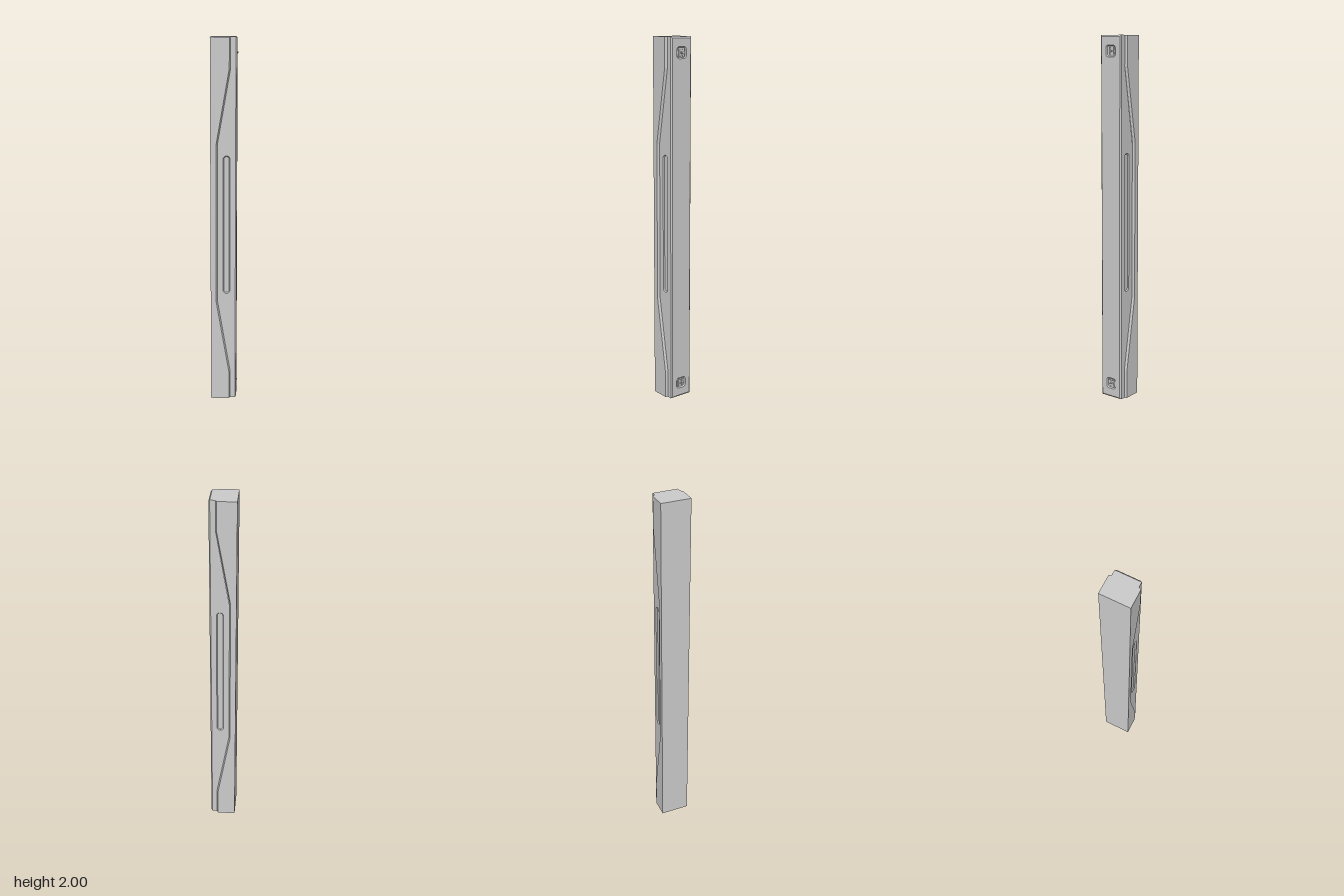
import * as THREE from 'three';

const material = new THREE.MeshStandardMaterial({ color: 0xcccccc, flatShading: true, side: THREE.DoubleSide });

function add(parent, name, geometry) {
  const mesh = new THREE.Mesh(geometry, material);
  mesh.name = name;
  parent.add(mesh);
  return mesh;
}

// Quad strips between successive rings of [x, y, z] points
function loft(rings, skip = []) {
  const pos = [];
  for (let r = 0; r < rings.length - 1; r++) {
    const a = rings[r], b = rings[r + 1], n = a.length;
    for (let i = 0; i < n; i++) {
      if (skip.includes(i)) continue;
      const j = (i + 1) % n;
      pos.push(...a[i], ...a[j], ...b[j], ...a[i], ...b[j], ...b[i]);
    }
  }
  const geo = new THREE.BufferGeometry();
  geo.setAttribute('position', new THREE.Float32BufferAttribute(pos, 3));
  geo.computeVertexNormals();
  return geo;
}

// Counter-clockwise rounded rectangle
function roundRect(cx, cy, w, h, r, steps = 8) {
  const pts = [];
  [[1, 1], [-1, 1], [-1, -1], [1, -1]].forEach(([sx, sy], q) => {
    for (let i = 0; i <= steps; i++) {
      const t = (q + i / steps) * Math.PI / 2;
      pts.push(new THREE.Vector2(cx + sx * (w / 2 - r) + r * Math.cos(t), cy + sy * (h / 2 - r) + r * Math.sin(t)));
    }
  });
  return pts;
}

const at = (pts, z) => pts.map(p => [p.x, p.y, z]);
const rect = (w, h) => [[1, 1], [-1, 1], [-1, -1], [1, -1]].map(([x, y]) => new THREE.Vector2(x * w / 2, y * h / 2));

// Flat face with holes, at z = 0
function face(outline, holes = []) {
  const shape = new THREE.Shape(outline);
  holes.forEach(h => shape.holes.push(new THREE.Path(h)));
  return new THREE.ShapeGeometry(shape);
}

// Sloping wall and floor of a shallow recess below z = 0
function addRecess(parent, name, cx, cy, w, h, r, inset, depth) {
  const rim = roundRect(cx, cy, w, h, r);
  const floor = roundRect(cx, cy, w - 2 * inset, h - 2 * inset, r - inset);
  add(parent, name + 'Wall', loft([at(rim, 0), at(floor, -depth)]));
  add(parent, name + 'Floor', face(floor)).position.z = -depth;
  return rim;
}

const BACK = -0.072, PLATE = 0.062, FRONT = 0.069, WIDE = 0.08, NARROW = 0.067, BEVEL = 0.007;
// Step line along the sides: [y, x]
const stepLine = [[0, 0.028], [0.16, 0.028], [0.57, -0.042], [1.44, -0.042], [1.84, 0.028], [2, 0.028]];

const section = e => [[BACK, WIDE], [e, WIDE], [e + BEVEL, NARROW], [PLATE, NARROW],
  [PLATE, -NARROW], [e + BEVEL, -NARROW], [e, -WIDE], [BACK, -WIDE]];

export function createModel() {
  const model = new THREE.Group();
  model.name = 'pillar';

  // Main body: wide back with a bevelled step
  const rings = stepLine.map(([y, e]) => section(e).map(([x, z]) => [x, y, z]));
  add(model, 'body', loft(rings, [2, 3, 4]));
  const capOutline = section(0.028).map(([x, z]) => new THREE.Vector2(x, z));
  const top = add(model, 'topCap', face(capOutline));
  top.rotation.x = -Math.PI / 2;
  top.position.y = 2;
  add(model, 'bottomCap', face(capOutline)).rotation.x = Math.PI / 2;

  // Side panels, each with a long rounded slot
  for (const s of [1, -1]) {
    const side = new THREE.Group();
    side.name = s > 0 ? 'frontSidePanel' : 'backSidePanel';
    side.position.set(0, 1, s * NARROW);
    if (s < 0) side.rotation.x = Math.PI;
    const outline = stepLine.map(([y, e]) => new THREE.Vector2(e + BEVEL, y - 1));
    outline.push(new THREE.Vector2(PLATE, 1), new THREE.Vector2(PLATE, -1));
    const rim = addRecess(side, 'slot', 0.014, 0, 0.038, 0.765, 0.0189, 0.005, 0.006);
    add(side, 'panel', face(outline, [rim]));
    model.add(side);
  }

  // Chamfered face plate, local z pointing outward
  const plate = new THREE.Group();
  plate.name = 'facePlate';
  plate.rotation.y = Math.PI / 2;
  plate.position.set(FRONT, 1, 0);
  model.add(plate);
  const inner = rect(0.12, 1.984);
  add(plate, 'plateChamfer', loft([at(rect(2 * NARROW, 2), PLATE - FRONT), at(inner, 0)]));

  // Recessed fasteners near both ends
  const holes = [-0.918, 0.918].map(y => {
    const rim = addRecess(plate, 'fastenerRecess', 0, y, 0.062, 0.062, 0.016, 0.006, 0.006);
    const fastener = new THREE.Group();
    fastener.name = 'fastener';
    fastener.position.set(0, y, -0.006);
    for (const sx of [-1, 1]) for (const sy of [-1, 1]) {
      add(fastener, 'stud', new THREE.BoxGeometry(0.013, 0.013, 0.006)).position.set(sx * 0.0125, sy * 0.0125, 0.003);
    }
    add(fastener, 'base', new THREE.BoxGeometry(0.03, 0.03, 0.003)).position.z = 0.0015;
    const pin = add(fastener, 'pin', new THREE.CylinderGeometry(0.005, 0.007, 0.01, 12));
    pin.rotation.x = Math.PI / 2;
    pin.position.z = 0.005;
    plate.add(fastener);
    return rim;
  });
  add(plate, 'plateFace', face(inner, holes));

  return model;
}
